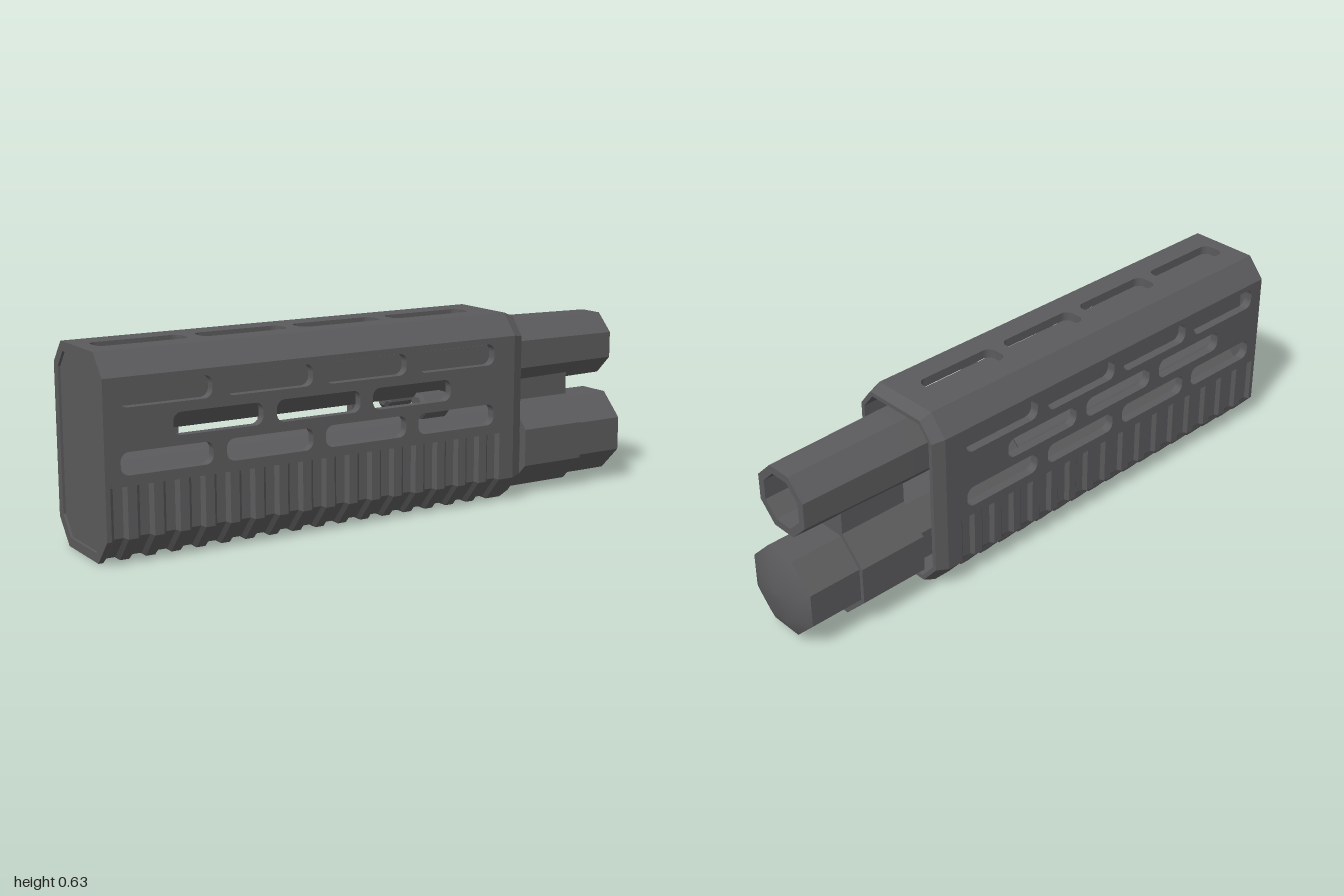
import * as THREE from 'three';

const metal = new THREE.MeshStandardMaterial({ color: 0x5b5b5d });
metal.name = 'dark grey metal';

const BACK = -1, LIP = 0.47, FRONT = 0.51, WALL = 0.03;

function flat(geo) {
  const g = geo.index ? geo.toNonIndexed() : geo;
  g.computeVertexNormals();
  return g;
}

// Shell outline as [z, y] points, moved inward by d
function outline(d) {
  const half = [[0.12 - 0.4 * d, 0.633 - d], [0.18 - d, 0.563 - 0.4 * d], [0.18 - d, 0.08 + 0.4 * d], [0.11 - 0.4 * d, d]];
  return [...half, ...half.slice().reverse().map(([z, y]) => [-z, y])];
}

// Lower part of the outline, cut off level with the bottom of the side panels
function lowerOutline(d) {
  const p = outline(d).slice(1, 7);
  p[0][1] = p[5][1] = 0.24;
  return p;
}

// Walled loft along x; stations are { x, outer, inner }
function loft(stations) {
  const pos = [];
  const quad = (...c) => [0, 1, 2, 0, 2, 3].forEach(i => pos.push(...c[i]));
  const at = (s, p) => [s.x, p[1], p[0]];
  const loops = stations.map(s => [...s.outer, ...s.inner.slice().reverse()].map(p => at(s, p)));
  for (let k = 0; k + 1 < loops.length; k++) {
    const a = loops[k], b = loops[k + 1];
    for (let i = 0; i < a.length; i++) {
      const j = (i + 1) % a.length;
      quad(a[i], a[j], b[j], b[i]);
    }
  }
  const first = stations[0], last = stations[stations.length - 1];
  for (let i = 0; i + 1 < first.outer.length; i++) {
    quad(at(last, last.outer[i]), at(last, last.outer[i + 1]), at(last, last.inner[i + 1]), at(last, last.inner[i]));
    quad(at(first, first.inner[i]), at(first, first.inner[i + 1]), at(first, first.outer[i + 1]), at(first, first.outer[i]));
  }
  const g = new THREE.BufferGeometry();
  g.setAttribute('position', new THREE.Float32BufferAttribute(pos, 3));
  return flat(g);
}

// Rounded slot centred on (x, y)
function slot(x, y, w = 0.3, h = 0.07, r = 0.027) {
  const p = new THREE.Path(), a = w / 2 - r, b = h / 2 - r;
  p.absarc(x + a, y + b, r, 0, Math.PI / 2);
  p.absarc(x - a, y + b, r, Math.PI / 2, Math.PI);
  p.absarc(x - a, y - b, r, Math.PI, Math.PI * 1.5);
  p.absarc(x + a, y - b, r, Math.PI * 1.5, Math.PI * 2);
  p.closePath();
  return p;
}

// Flat wall panel with slots
function panel(y0, y1, slots) {
  const s = new THREE.Shape([[BACK, y0], [LIP, y0], [LIP, y1], [BACK, y1]].map(p => new THREE.Vector2(...p)));
  s.holes.push(...slots);
  return new THREE.ExtrudeGeometry(s, { depth: WALL, bevelEnabled: false, curveSegments: 4 });
}

// Eight-sided turned part along x; profile is [x, half width across flats]
function turned(profile, y, z = 0, smooth = false) {
  const pts = profile.map(([x, a]) => new THREE.Vector2(a / Math.cos(Math.PI / 8), x));
  const g = new THREE.LatheGeometry(pts, 8, Math.PI / 8).rotateZ(-Math.PI / 2).translate(0, y, z);
  return smooth ? g : flat(g);
}

export function createModel() {
  const model = new THREE.Group();
  model.name = 'barrelAssembly';
  const add = (name, geo) => {
    const m = new THREE.Mesh(geo, metal);
    m.name = name;
    model.add(m);
  };

  // Slotted side and top panels
  const longRow = [-0.8, -0.455, -0.11, 0.237], shortRow = [-0.63, -0.283, 0.063];
  const sideSlots = () => [
    ...longRow.map(x => slot(x, 0.508)),
    ...shortRow.map(x => slot(x, 0.407)),
    ...longRow.map(x => slot(x, 0.307)),
  ];
  add('leftSidePanel', panel(0.24, 0.563, sideSlots()).translate(0, 0, 0.18 - WALL));
  add('rightSidePanel', panel(0.24, 0.563, sideSlots()).translate(0, 0, -0.18));
  add('topPanel', panel(-0.12, 0.12, longRow.map(x => slot(x, 0, 0.3, 0.08)))
    .rotateX(-Math.PI / 2).translate(0, 0.633 - WALL, 0));

  // Sloping strips between the top and the sides
  for (const [name, i] of [['leftTopChamfer', 0], ['rightTopChamfer', 6]]) {
    add(name, loft([BACK, LIP].map(x => ({
      x, outer: outline(0).slice(i, i + 2), inner: outline(WALL).slice(i, i + 2),
    }))));
  }

  // Ribbed lower grip
  const ribs = [[BACK, 0]];
  for (let k = 0; k < 17; k++) {
    const x = -0.985 + k * 0.084;
    ribs.push([x, 0], [x + 0.012, 0.011], [x + 0.042, 0.011], [x + 0.054, 0]);
  }
  ribs.push([LIP, 0]);
  add('ribbedGrip', loft(ribs.map(([x, d]) => ({ x, outer: lowerOutline(d), inner: lowerOutline(WALL) }))));

  // Bevelled front lip
  const closed = p => [...p, p[0]];
  add('frontLip', loft([[LIP, 0], [FRONT, 0.016]].map(([x, d]) => ({
    x, outer: closed(outline(d)), inner: closed(outline(WALL)),
  }))));

  // Plate closing the rear of the shell
  const plate = new THREE.Shape(outline(WALL).map(p => new THREE.Vector2(...p)));
  add('rearPlate', new THREE.ExtrudeGeometry(plate, { depth: 0.02, bevelEnabled: false })
    .rotateY(Math.PI / 2).translate(-0.992, 0, 0));

  // Upper barrel with a hollow muzzle
  add('upperBarrel', turned([[-0.98, 0], [-0.98, 0.116], [0.54, 0.113], [0.945, 0.106], [0.945, 0.081], [0.65, 0.081], [0.65, 0]], 0.482));

  // Lower tube, its collar and domed cap
  const tubeY = 0.167;
  add('lowerTube', turned([[-0.98, 0], [-0.98, 0.121], [0.56, 0.121]], tubeY));
  add('tubeCollar', turned([[0.545, 0], [0.545, 0.152], [0.785, 0.152], [0.785, 0]], tubeY));
  add('tubeCap', turned([[0.78, 0.138], [0.968, 0.138]], tubeY));
  add('capDome', turned([[0.968, 0.138], [0.994, 0.085], [1, 0]], tubeY, 0, true));

  // Block joining the collar to the barrel
  add('collarBlock', new THREE.BoxGeometry(0.24, 0.16, 0.13).translate(0.665, 0.315, 0));

  // Short bevelled pins inside the shell
  for (const s of [1, -1]) {
    add(s > 0 ? 'leftPin' : 'rightPin',
      turned([[0.13, 0], [0.13, 0.03], [0.14, 0.041], [0.23, 0.041], [0.24, 0.031], [0.24, 0]], 0.349, s * 0.105));
  }
  return model;
}
